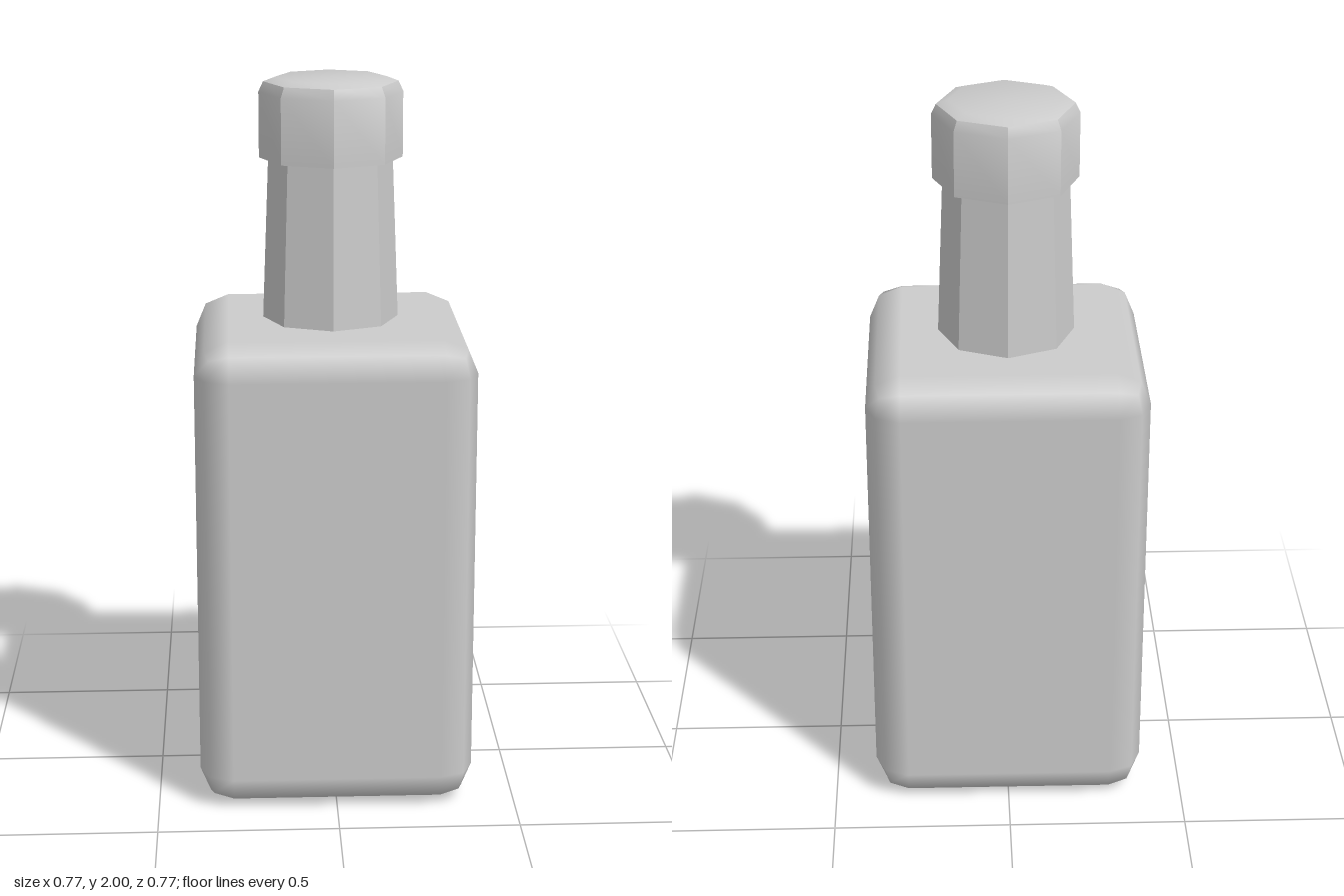
import * as THREE from 'three';
import { toCreasedNormals } from 'three/addons/utils/BufferGeometryUtils.js';
import { RoundedBoxGeometry } from 'three/addons/geometries/RoundedBoxGeometry.js';

const material = new THREE.MeshStandardMaterial({ color: 0xcccccc });
const SIDES = 8;

function addPart(group, name, geometry, x = 0, y = 0, z = 0) {
  const mesh = new THREE.Mesh(geometry, material);
  mesh.name = name;
  mesh.position.set(x, y, z);
  group.add(mesh);
  return mesh;
}

// Eight-sided turned part; corners between facets stay sharp, bevels stay soft
function octagonalLathe(profile) {
  const points = profile.map(([r, y]) => new THREE.Vector2(r, y));
  return toCreasedNormals(new THREE.LatheGeometry(points, SIDES), THREE.MathUtils.degToRad(35));
}

export function createModel() {
  const bottle = new THREE.Group();
  bottle.name = 'bottle';

  // Square body with two-step bevelled edges
  const width = 0.767, height = 1.332, bevel = 0.094;
  addPart(bottle, 'body', new RoundedBoxGeometry(width, height, width, 1, bevel), 0, height / 2, 0);

  // Tapered neck, sunk slightly into the body and the cap
  addPart(bottle, 'neck', octagonalLathe([
    [0, 1.3], [0.19, 1.3], [0.171, 1.8], [0, 1.8],
  ]), -0.003, 0, -0.003);

  // Cap with a bevelled top rim
  addPart(bottle, 'cap', octagonalLathe([
    [0, 1.78], [0.198, 1.78], [0.198, 1.96], [0.185, 1.988], [0.153, 2], [0, 2],
  ]), -0.002, 0, -0.003);

  return bottle;
}
